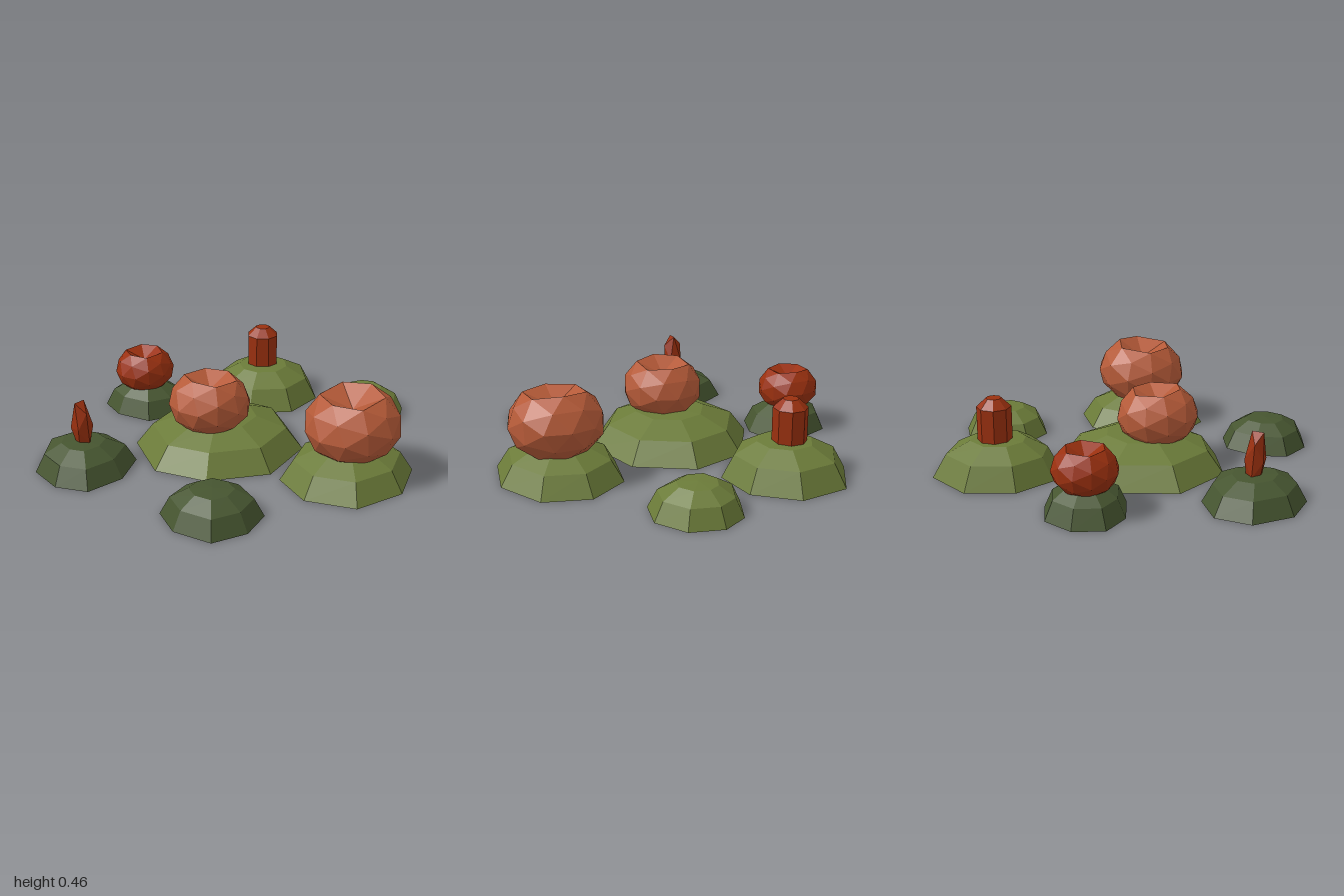
import * as THREE from 'three';

const mat = (name, color, side = THREE.FrontSide) =>
  new THREE.MeshStandardMaterial({ name, color, side, flatShading: true });

// Low open dome: rings shrink from the base outline towards its middle
function moundGeometry(outline, height) {
  const n = outline.length;
  const cx = outline.reduce((s, p) => s + p[0], 0) / n;
  const cz = outline.reduce((s, p) => s + p[1], 0) / n;
  const rings = [[1, 0], [0.8, 0.62], [0.44, 0.95]];
  const pos = [], idx = [];
  for (const [r, y] of rings)
    for (const [x, z] of outline) pos.push(cx + (x - cx) * r, y * height, cz + (z - cz) * r);
  pos.push(cx, height, cz);
  const apex = rings.length * n;
  for (let k = 0; k < rings.length; k++)
    for (let i = 0; i < n; i++) {
      const a = k * n + i, b = k * n + (i + 1) % n;
      if (k === rings.length - 1) idx.push(a, apex, b);
      else idx.push(a, a + n, b, b, a + n, b + n);
    }
  const g = new THREE.BufferGeometry();
  g.setAttribute('position', new THREE.Float32BufferAttribute(pos, 3));
  g.setIndex(idx);
  const flat = g.toNonIndexed();
  flat.computeVertexNormals();
  return flat;
}

// Faceted ball with its crown broadened and its top point pushed in
function dentedBallGeometry() {
  const g = new THREE.IcosahedronGeometry(1, 1);
  const p = g.attributes.position;
  for (let i = 0; i < p.count; i++) {
    const x = p.getX(i), y = p.getY(i), z = p.getZ(i);
    if (y > 0.95) p.setY(i, 0.42);
    else if (y > 0.7) p.setXYZ(i, x * 1.12, y, z * 1.12);
  }
  g.computeVertexNormals();
  return g;
}

export function createModel() {
  const group = new THREE.Group();
  const olive = mat('olive green', 0x6b7b39, THREE.DoubleSide);
  const forest = mat('dark green', 0x465530, THREE.DoubleSide);
  const clay = mat('terracotta', 0xb55a38);
  const rust = mat('rust red', 0x9a300f);

  const add = (name, geometry, material, x = 0, y = 0, z = 0) => {
    const m = new THREE.Mesh(geometry, material);
    m.name = name;
    m.position.set(x, y, z);
    group.add(m);
    return m;
  };

  // Grassy mounds: name, material, height, base outline as [x, z]
  const mounds = [
    ['centreMound', olive, 0.185, [[-0.06, -0.49], [0.25, -0.31], [0.34, -0.02], [0.18, 0.27],
      [-0.15, 0.36], [-0.43, 0.19], [-0.54, -0.07], [-0.4, -0.385]]],
    ['frontMound', olive, 0.17, [[0.07, 0.32], [0.33, 0.37], [0.465, 0.58], [0.4, 0.82],
      [0.16, 0.945], [-0.11, 0.89], [-0.23, 0.66], [-0.16, 0.43]]],
    ['backLeftMound', olive, 0.19, [[0.6, -0.715], [0.84, -0.58], [0.875, -0.32], [0.715, -0.12],
      [0.475, -0.085], [0.29, -0.235], [0.245, -0.43], [0.36, -0.635]]],
    ['leftMound', olive, 0.152, [[0.745, 0.045], [0.925, 0.015], [1, 0.145], [0.96, 0.315],
      [0.81, 0.415], [0.64, 0.38], [0.54, 0.2], [0.58, 0.03]].map(([x, z], i) => [x, i ? z : -0.05])],
    ['backRightMound', forest, 0.15, [[-0.81, -0.63], [-0.625, -0.61], [-0.52, -0.44], [-0.525, -0.235],
      [-0.71, -0.12], [-0.915, -0.13], [-1, -0.28], [-0.975, -0.48]]],
    ['frontRightMound', forest, 0.148, [[-0.635, 0.23], [-0.47, 0.29], [-0.41, 0.445], [-0.465, 0.63],
      [-0.635, 0.69], [-0.81, 0.635], [-0.865, 0.44], [-0.8, 0.27]]],
    ['backMound', forest, 0.15, [[-0.05, -0.955], [0.105, -0.89], [0.17, -0.73], [0.135, -0.55],
      [-0.02, -0.5], [-0.18, -0.55], [-0.24, -0.74], [-0.2, -0.9]]],
  ];
  for (const [name, material, height, outline] of mounds)
    add(name, moundGeometry(outline, height), material);

  // Dented balls: name, material, centre, radius, half height, lean
  const balls = [
    ['centreBall', clay, [-0.18, 0.275, -0.05], 0.212, 0.165, -0.05],
    ['frontBall', clay, [0.13, 0.285, 0.645], 0.245, 0.188, 0.09],
    ['backBall', rust, [-0.04, 0.22, -0.74], 0.163, 0.128, 0.03],
  ];
  for (const [name, material, centre, r, h, lean] of balls) {
    const b = add(name, dentedBallGeometry(), material, ...centre);
    b.scale.set(r, h, r);
    b.rotation.z = lean;
  }

  // Eight-sided stub with a bevelled cap
  const stub = [[0, 0.13], [0.088, 0.13], [0.088, 0.355], [0.04, 0.4], [0, 0.4]]
    .map(([r, y]) => new THREE.Vector2(r, y));
  add('stub', new THREE.LatheGeometry(stub, 8, Math.PI / 8), rust, 0.567, 0, -0.41);

  // Slender crystal-like sprout
  const sprout = add('sprout', new THREE.IcosahedronGeometry(1, 0), rust, -0.758, 0.222, -0.365);
  sprout.scale.set(0.054, 0.16, 0.06);
  sprout.rotation.z = 0.06;

  return group;
}
